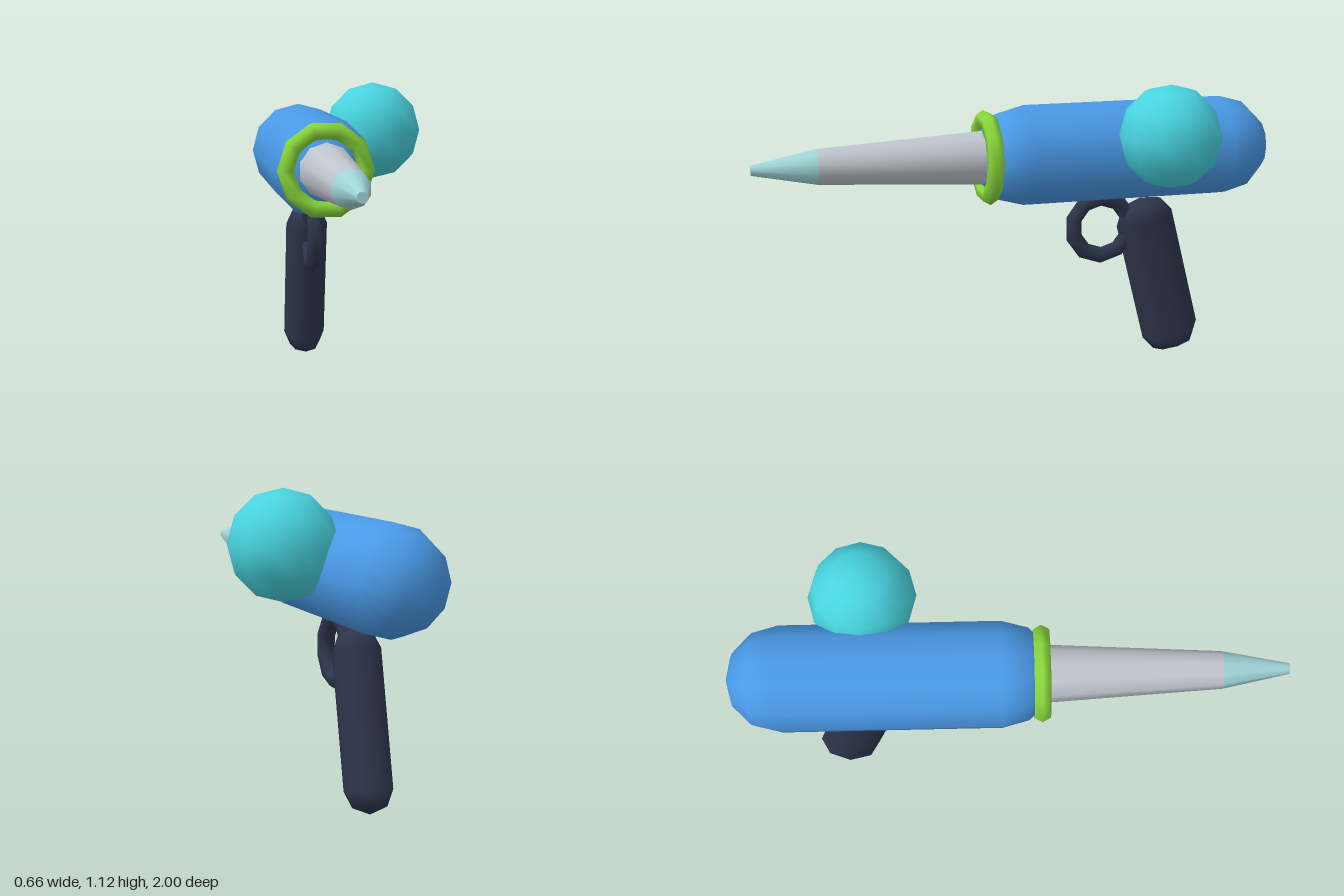
import * as THREE from 'three';

const AXIS_X = -0.135; // shared vertical plane of body, barrel and grip
const AXIS_Y = 0.834;  // height of the barrel axis

function material(name, color) {
  const m = new THREE.MeshStandardMaterial({ color });
  m.name = name;
  return m;
}

export function createModel() {
  const group = new THREE.Group();
  const blue = material('blue', 0x4a9ae8);
  const cyan = material('cyan', 0x48d4e0);
  const green = material('green', 0x8ad83c);
  const grey = material('grey', 0xc0c6ce);
  const navy = material('navy', 0x2e354c);
  const paleTeal = material('paleTeal', 0xa0d6d8);

  function add(name, geometry, mat, x, y, z) {
    const mesh = new THREE.Mesh(geometry, mat);
    mesh.name = name;
    mesh.position.set(x, y, z);
    group.add(mesh);
    return mesh;
  }

  // Tapered tube lying along z, from z0 to z1
  function taper(name, mat, z0, r0, z1, r1) {
    const geometry = new THREE.CylinderGeometry(r1, r0, z1 - z0, 10).rotateX(Math.PI / 2);
    return add(name, geometry, mat, AXIS_X, AXIS_Y, (z0 + z1) / 2);
  }

  // Rounded main body
  const body = new THREE.CapsuleGeometry(0.193, 0.785, 3, 12).rotateX(Math.PI / 2);
  add('body', body, blue, AXIS_X, AXIS_Y, -0.414);

  // Collar, barrel and nozzle
  add('collarRing', new THREE.TorusGeometry(0.147, 0.033, 6, 10), green, AXIS_X, AXIS_Y, 0.12);
  taper('barrel', grey, 0.1, 0.105, 0.76, 0.067);
  taper('nozzleTip', paleTeal, 0.76, 0.067, 1, 0.019);

  // Round tank on the left side
  add('tank', new THREE.SphereGeometry(0.193, 12, 6), cyan, 0.135, 0.933, -0.511);

  // Slanted grip, deeper than it is wide
  const grip = new THREE.CapsuleGeometry(0.083, 0.482, 2, 8).scale(1, 1, 1.4);
  add('grip', grip, navy, AXIS_X, 0.325, -0.57).rotation.x = 0.245;

  // Trigger guard loop
  const guard = new THREE.TorusGeometry(0.115, 0.032, 6, 10)
    .rotateZ(Math.PI / 2).rotateY(Math.PI / 2);
  add('triggerGuard', guard, navy, AXIS_X, 0.535, -0.334);

  return group;
}
